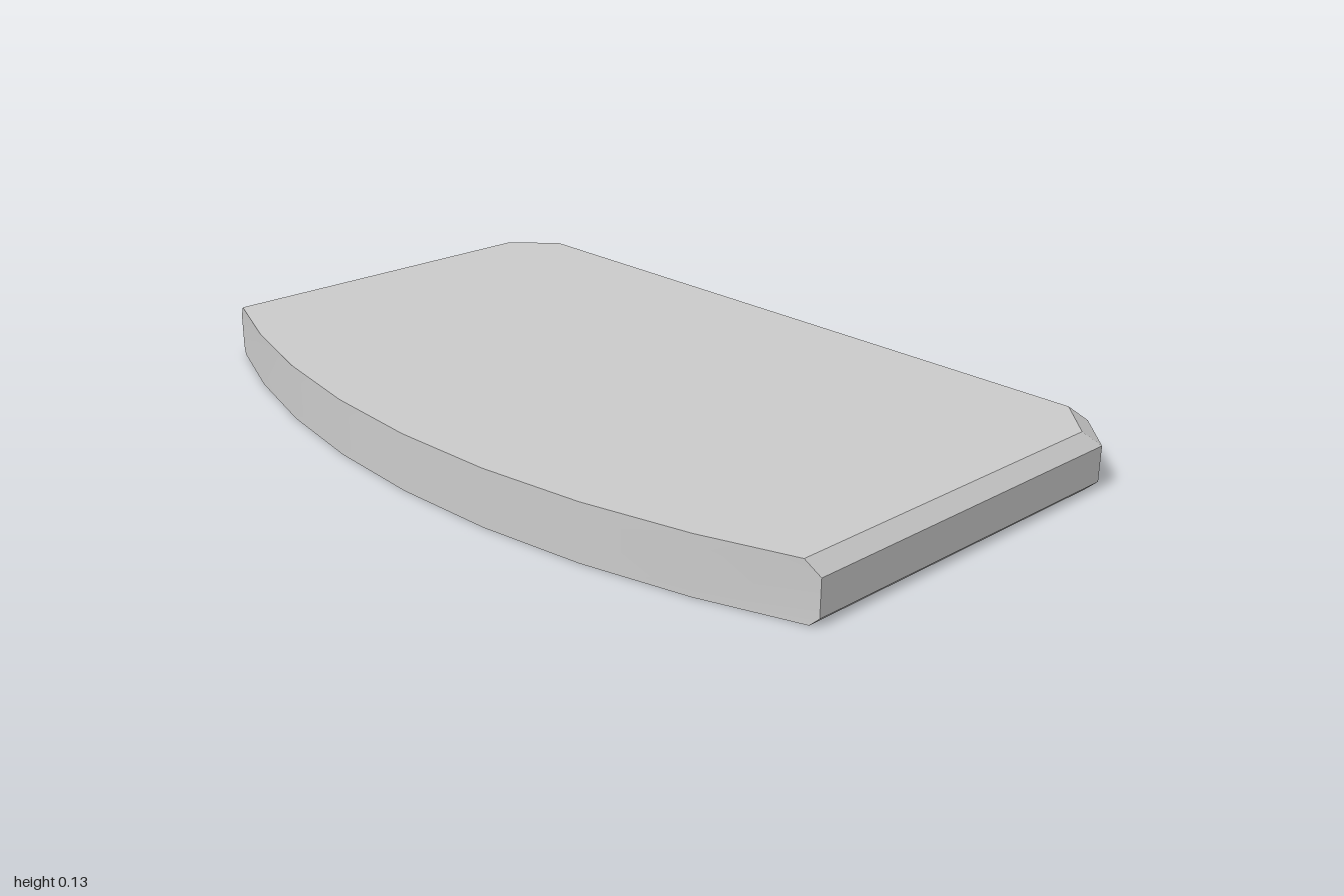
import * as THREE from 'three';
import { toCreasedNormals } from 'three/addons/utils/BufferGeometryUtils.js';

const SEGMENTS = 8;      // facets of the bowed front
const BACK = -0.607, FRONT = 0.607, SIDE_FRONT = 0.4;
const CHAMFER = 0.103;   // cut back corners

// Outline at one height: bowed front from left to right, then the cut back corners.
// The inset narrows the sides and back while the front stays upright.
function outline(y, inset) {
  const sag = FRONT - SIDE_FRONT;
  const radius = (1 + sag * sag) / (2 * sag);
  const half = Math.asin(1 / radius);
  const points = [];
  for (let i = 0; i <= SEGMENTS; i++) {
    let x = radius * Math.sin(half * (2 * i / SEGMENTS - 1));
    x = THREE.MathUtils.clamp(x, inset - 1, 1 - inset);
    points.push([x, y, FRONT - radius + Math.sqrt(radius * radius - x * x)]);
  }
  const side = 1 - inset, back = BACK + inset;
  points.push([side, y, back + CHAMFER], [side - CHAMFER, y, back]);
  points.push([CHAMFER - side, y, back], [-side, y, back + CHAMFER]);
  return points;
}

function slabGeometry() {
  // Small bevel below, upright wall, wider bevel above
  const rings = [[0, 0.018], [0.018, 0], [0.102, 0], [0.134, 0.032]]
    .map(([y, inset]) => outline(y, inset));
  const count = rings[0].length;
  const positions = [];
  const triangle = (a, b, c) => positions.push(...a, ...b, ...c);

  for (let k = 0; k < rings.length - 1; k++) {
    for (let i = 0; i < count; i++) {
      const j = (i + 1) % count;
      triangle(rings[k][i], rings[k][j], rings[k + 1][j]);
      triangle(rings[k][i], rings[k + 1][j], rings[k + 1][i]);
    }
  }
  // Flat top and underside
  const top = rings[rings.length - 1], bottom = rings[0];
  for (let i = 1; i < count - 1; i++) {
    triangle(top[0], top[i], top[i + 1]);
    triangle(bottom[0], bottom[i + 1], bottom[i]);
  }

  const geometry = new THREE.BufferGeometry();
  geometry.setAttribute('position', new THREE.Float32BufferAttribute(positions, 3));
  return toCreasedNormals(geometry, 0.3);
}

export function createModel() {
  const group = new THREE.Group();
  group.name = 'bowFrontSlab';
  const slab = new THREE.Mesh(slabGeometry(), new THREE.MeshStandardMaterial({ color: 0xcccccc }));
  slab.name = 'slab';
  group.add(slab);
  return group;
}
